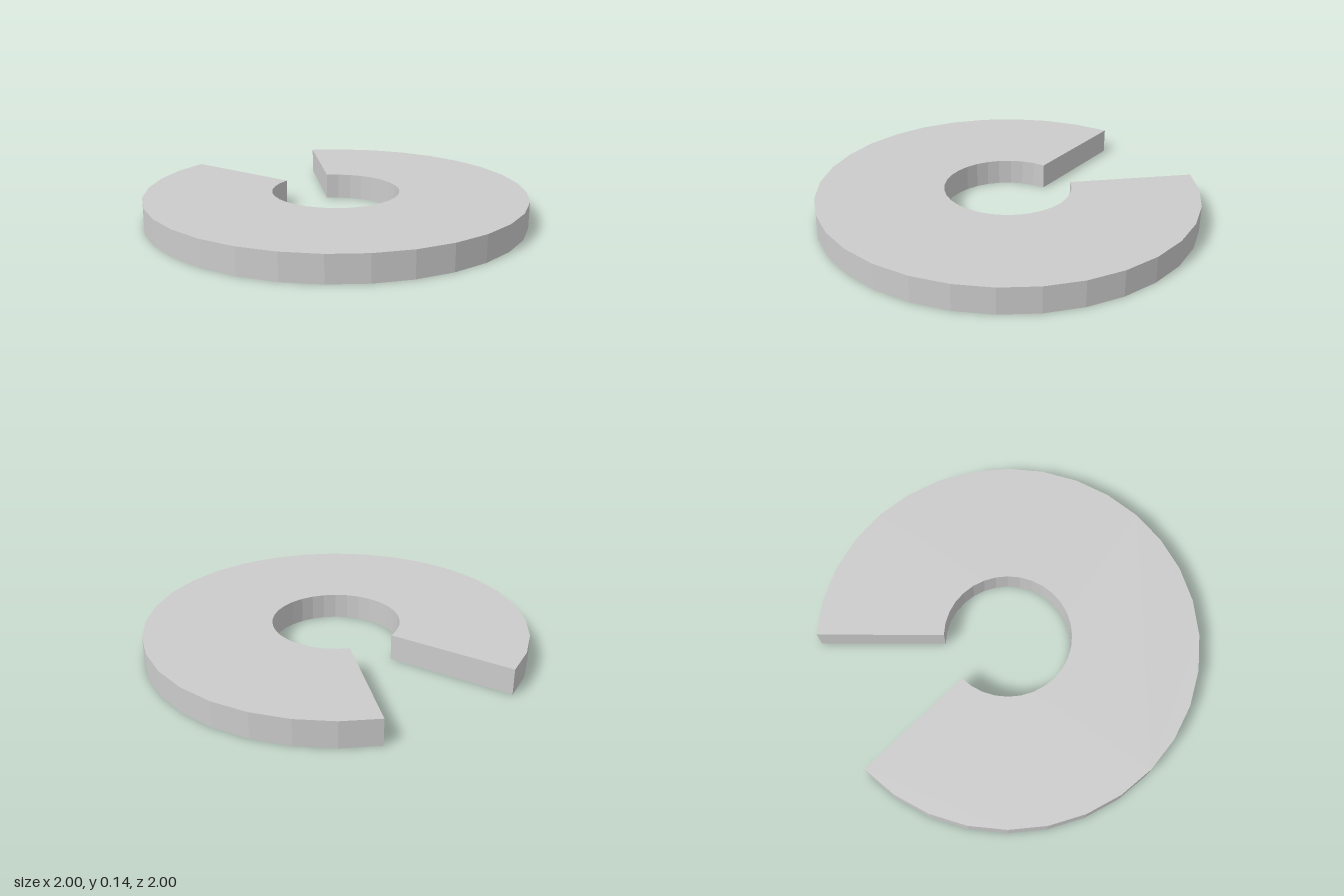
import * as THREE from 'three';

const OUTER = 1, INNER = 0.335, HEIGHT = 0.135;
const STEP = Math.PI / 16; // 32 sides to a full turn
const FIRST = 14, COUNT = 28; // the ring leaves a gap of four sides at the back right

// Points along the faceted arc of a given radius
function arc(radius) {
  return Array.from({ length: COUNT + 1 }, (_, i) => {
    const a = (FIRST + i) * STEP;
    return new THREE.Vector2(radius * Math.cos(a), radius * Math.sin(a));
  });
}

export function createModel() {
  const group = new THREE.Group();
  group.name = 'slottedWasher';

  // Flat open ring: out along the rim, back along the bore
  const shape = new THREE.Shape([...arc(OUTER), ...arc(INNER).reverse()]);
  const geometry = new THREE.ExtrudeGeometry(shape, { depth: HEIGHT, bevelEnabled: false });
  geometry.rotateX(-Math.PI / 2);

  const material = new THREE.MeshStandardMaterial({ color: 0xcccccc, flatShading: true });
  const ring = new THREE.Mesh(geometry, material);
  ring.name = 'openRing';
  group.add(ring);
  return group;
}
